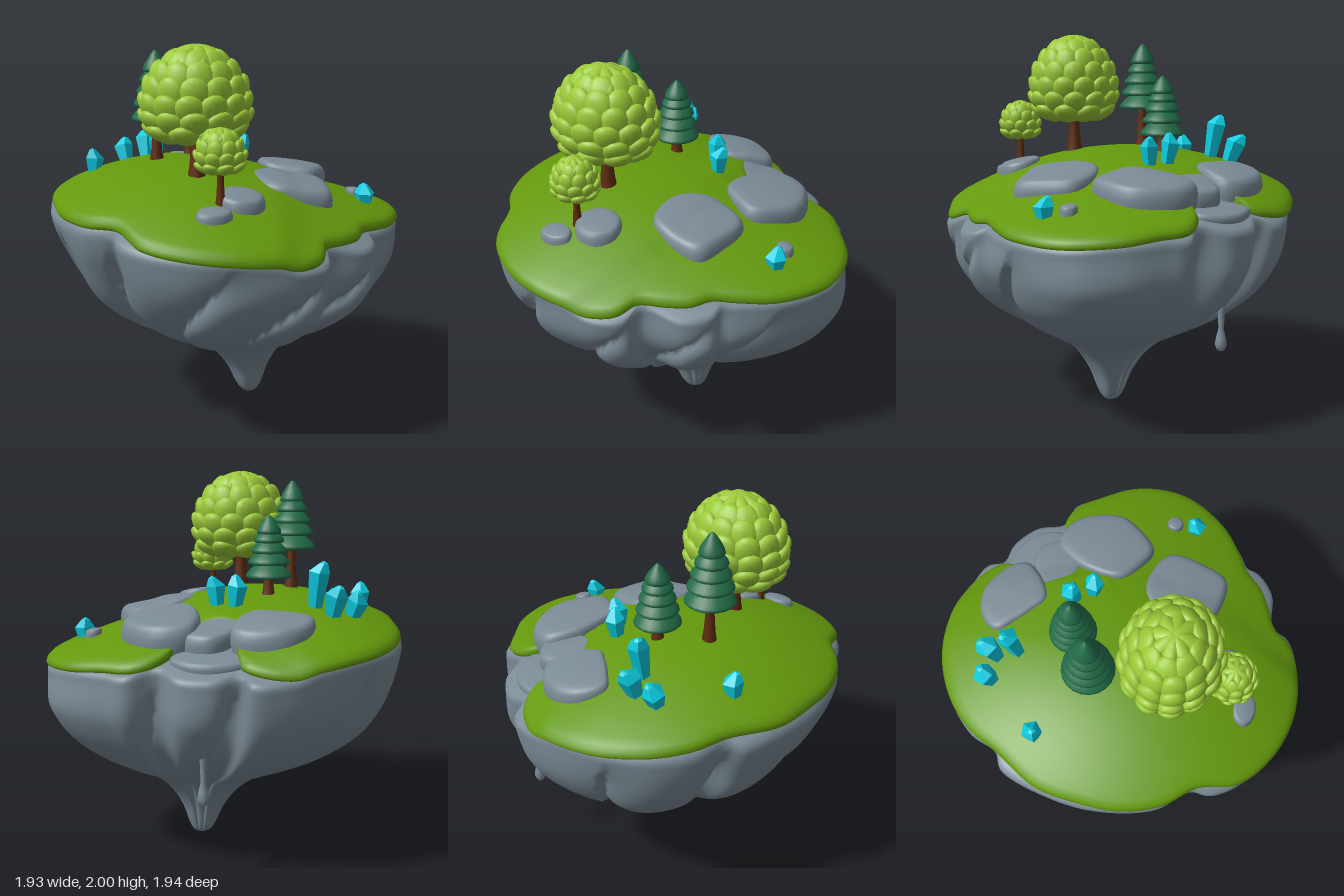
import * as THREE from 'three';

const mat = (name, color, extra = {}) => Object.assign(new THREE.MeshStandardMaterial({ color, ...extra }), { name });
const grassMat = mat('grass green', 0x64990c);
const rockMat = mat('slate grey', 0x7b8b96);
const leafMat = mat('lime leaf', 0x9cca38);
const pineMat = mat('pine green', 0x216a48);
const woodMat = mat('bark brown', 0x5e2c10);
const crystalMat = mat('crystal cyan', 0x0acde2, { flatShading: true });

const { smoothstep, lerp } = THREE.MathUtils;
const lathe = (points, sides) => new THREE.LatheGeometry(points.map(p => new THREE.Vector2(...p)), sides);

// Height of the meadow at any spot
function ground(x, z) {
  const dx = x + 0.25, dz = z + 0.05;
  const slope = dx > 0 ? 0.22 * dx ** 1.45 : 0.36 * dx * dx;
  return 1.385 - slope - 0.28 * dz * dz - 0.025 * smoothstep(x + 0.3 * z * z, 0.2, 0.32);
}

// Smooth closed outline through a few [x, z] points, clockwise from above
function outline(points) {
  return new THREE.CatmullRomCurve3(points.map(([x, z]) => new THREE.Vector3(x, 0, z)), true, 'centripetal');
}

// Skin over closed rings listed from the bottom up; at(j, row) gives [x, y, z]
function loft(rows, segments, at) {
  const pos = [], index = [];
  rows.forEach((row, i) => {
    for (let j = 0; j < segments; j++) {
      pos.push(...at(j, row));
      if (i === rows.length - 1) continue;
      const a = i * segments + j, b = i * segments + (j + 1) % segments;
      index.push(a, a + segments, b, b, a + segments, b + segments);
    }
  });
  const g = new THREE.BufferGeometry();
  g.setAttribute('position', new THREE.Float32BufferAttribute(pos, 3));
  g.setIndex(index);
  g.computeVertexNormals();
  return g;
}

function add(parent, name, geometry, material, x = 0, y = 0, z = 0) {
  const m = new THREE.Mesh(geometry, material);
  m.name = name;
  m.position.set(x, y, z);
  parent.add(m);
  return m;
}

// Hanging rock with overlapping plates that sweep sideways at the front
function rockBody() {
  const N = 240;
  const rim = outline([[-0.2, -0.94], [0.1, -0.93], [0.24, -0.88], [0.27, -0.79], [0.4, -0.77], [0.53, -0.67],
    [0.58, -0.52], [0.73, -0.49], [0.8, -0.38], [0.9, -0.2], [0.95, 0], [0.92, 0.17], [0.8, 0.37], [0.65, 0.51],
    [0.59, 0.55], [0.58, 0.62], [0.48, 0.72], [0.27, 0.76], [0.23, 0.86], [0.1, 0.93], [-0.2, 0.93], [-0.45, 0.88],
    [-0.65, 0.75], [-0.74, 0.62], [-0.75, 0.52], [-0.88, 0.37], [-0.96, 0.1], [-0.96, -0.15], [-0.88, -0.45],
    [-0.8, -0.5], [-0.74, -0.65], [-0.6, -0.8], [-0.4, -0.9]]).getSpacedPoints(N);
  const profile = new THREE.SplineCurve([[0, 0], [0.045, 0.012], [0.08, 0.06], [0.125, 0.16], [0.2, 0.26], [0.31, 0.345],
    [0.47, 0.41], [0.66, 0.5], [0.83, 0.62], [0.93, 0.75], [0.98, 0.87], [1, 0.97]].map(p => new THREE.Vector2(...p)));
  const rows = profile.getPoints(44).map(p => ({ r: p.x, f: p.y }));
  rows.push({ r: 0.995, top: -0.055 });
  for (const r of [0.97, 0.9, 0.8, 0.65, 0.5, 0.3, 0.1, 0]) rows.push({ r, top: -0.05 });

  // Seams between plates, as fractions around the rim
  const seams = [[0.27, -0.79], [0.58, -0.52], [0.83, 0.33], [0.59, 0.56], [0.25, 0.78], [-0.2, 0.93], [-0.75, 0.54],
    [-0.96, 0.05], [-0.82, -0.49], [-0.4, -0.9]].map(([x, z]) => {
    const d = rim.map(p => Math.hypot(p.x - x, p.z - z));
    return d.indexOf(Math.min(...d)) / N;
  }).sort((a, b) => a - b);
  function plateDepth(u) {
    const v = (u + 1) % 1;
    const k = seams.findIndex(s => s > v);
    const end = k < 0 ? seams[0] + 1 : seams[k];
    const start = k > 0 ? seams[k - 1] : k < 0 ? seams.at(-1) : seams.at(-1) - 1;
    const phase = (v - start) / (end - start);
    return phase ** 5 + 0.35 * (1 - phase) ** 4;
  }

  return loft(rows, N, (j, { r, f, top }) => {
    const p = rim[j];
    let k = r;
    if (top === undefined) {
      const twist = lerp(0.04, 0.19, smoothstep(p.z, 0.1, 0.85));
      const swell = 0.025 + 0.05 * smoothstep(p.x, 0, 0.9) - 0.045 * smoothstep(-p.x, 0.4, 0.9);
      const depth = swell - 0.115 * plateDepth(j / N - twist * (1 - f));
      k *= 1 + depth * smoothstep(r, 0.12, 0.5) * (1 - smoothstep(f, 0.76, 0.98));
    }
    const x = lerp(0.12, p.x, k), z = p.z * k;
    const y = top === undefined ? f * lerp(1.05, ground(p.x, p.z) - 0.045, f ** 3) : ground(x, z) + top;
    return [x, y, z];
  });
}

// Puffy turf with a notch cut in at the back
function turf() {
  const N = 160;
  const edge = outline([[-0.2, -0.965], [0.02, -0.95], [0.16, -0.88], [0.245, -0.77], [0.22, -0.67], [0.14, -0.55],
    [0.22, -0.38], [0.36, -0.36], [0.45, -0.46], [0.56, -0.51], [0.7, -0.48], [0.8, -0.36], [0.91, -0.2], [0.955, 0],
    [0.93, 0.16], [0.8, 0.37], [0.65, 0.49], [0.54, 0.56], [0.48, 0.64], [0.37, 0.71], [0.25, 0.77], [0.2, 0.86],
    [0.08, 0.93], [-0.2, 0.965], [-0.45, 0.9], [-0.65, 0.75], [-0.73, 0.55], [-0.86, 0.4], [-0.94, 0.2], [-0.955, 0],
    [-0.93, -0.25], [-0.8, -0.5], [-0.73, -0.65], [-0.6, -0.8], [-0.4, -0.92]]).getSpacedPoints(N);
  const rows = [[0.92, -0.062], [0.975, -0.062], [0.993, -0.05], [1.001, -0.033], [0.993, -0.015], [0.975, -0.004],
    [0.94, 0], [0.86, 0], [0.76, 0], [0.64, 0], [0.52, 0], [0.4, 0], [0.28, 0], [0.16, 0], [0.06, 0], [0, 0]];
  return loft(rows, N, (j, [r, dy]) => {
    const x = lerp(-0.2, edge[j].x, r), z = lerp(0.2, edge[j].z, r);
    return [x, ground(x, z) + dy, z];
  });
}

// Flat-topped boulder, sunk in the slope and nearly level on top
function boulder(points, h) {
  const N = 54, ring = outline(points).getSpacedPoints(N);
  const cx = points.reduce((s, p) => s + p[0], 0) / points.length;
  const cz = points.reduce((s, p) => s + p[1], 0) / points.length;
  const rows = [[0.96, 0], [1, 0.35], [1.01, 0.6], [0.985, 0.8], [0.93, 0.92], [0.85, 0.98], [0.7, 1], [0.4, 1.03], [0, 1.04]];
  return loft(rows, N, (j, [r, s]) => {
    const x = lerp(cx, ring[j].x, r), z = lerp(cz, ring[j].z, r);
    const top = lerp(ground(cx, cz), ground(x, z), 0.5) + h;
    return [x, lerp(ground(x, z) - 0.07, top, s), z];
  });
}

const ovalPoints = (cx, cz, rx, rz) => [0, 1, 2, 3, 4, 5, 6].map(i => {
  const a = i / 7 * Math.PI * 2;
  return [cx + rx * Math.sin(a), cz - rz * Math.cos(a)];
});

// Round tree whose egg-shaped crown is made of overlapping leaf scales
function leafTree(x, z, crownY, radius, rows, leaf, trunkR, wide) {
  const g = new THREE.Group();
  g.name = 'roundTree';
  const base = ground(x, z) - 0.03, h = crownY - base;
  add(g, 'trunk', lathe([[trunkR * 1.5, 0], [trunkR * 1.1, h * 0.2], [trunkR * 0.85, h * 0.5], [trunkR * 0.9, h]], 12), woodMat, x, base, z);
  const crown = new THREE.Group();
  crown.name = 'crown';
  crown.position.set(x, crownY, z);
  crown.scale.set(wide, 1, 2 - wide);
  g.add(crown);
  add(crown, 'crownCore', new THREE.SphereGeometry(radius * 0.84, 20, 14), leafMat, 0, radius * 0.12, 0);
  const scaleGeo = new THREE.SphereGeometry(1, 12, 8);
  rows.forEach(([deg, count], i) => {
    const petal = i === 0;
    for (let j = 0; j < count; j++) {
      const a = (j + (i % 2) / 2) / count * Math.PI * 2, t = deg * Math.PI / 180;
      const n = new THREE.Vector3(Math.sin(t) * Math.cos(a), Math.cos(t), Math.sin(t) * Math.sin(a));
      const side = new THREE.Vector3(-Math.sin(a), 0, Math.cos(a));
      const m = add(crown, 'leaf', scaleGeo, leafMat);
      m.quaternion.setFromRotationMatrix(new THREE.Matrix4().makeBasis(side, new THREE.Vector3().crossVectors(n, side), n));
      m.rotateX(petal ? -0.1 : -0.5);
      m.position.copy(n).multiplyScalar(radius * (petal ? 0.9 : 0.86));
      if (n.y > 0) m.position.y *= 1.13;
      m.scale.set(leaf * (petal ? 0.5 : 0.9), leaf * (petal ? 1.25 : 1.05), leaf * 0.5);
    }
  });
  return g;
}

// Pine built from stacked skirts
function pine(x, z, top, tiers) {
  const g = new THREE.Group();
  g.name = 'pineTree';
  const base = ground(x, z) - 0.03, h = tiers[0][0] + 0.06 - base;
  add(g, 'trunk', lathe([[0.042, 0], [0.03, h * 0.25], [0.022, h * 0.6], [0.018, h]], 12), woodMat, x, base, z);
  tiers.forEach(([y, r], i) => {
    const peak = (i === tiers.length - 1 ? top : tiers[i + 1][0] + 0.03) - y;
    const prof = [[0, 0.025], [r * 0.6, 0.015], [r * 0.93, -0.008], [r, 0], [r * 0.97, 0.012], [r * 0.78, peak * 0.38], [r * 0.42, peak * 0.74], [r * 0.15, peak * 0.95], [0, peak]];
    add(g, 'branchSkirt', lathe(prof, 20), pineMat, x, y, z);
  });
  return g;
}

// Five-sided crystal with a blunt, off-centre tip
function crystal(h, r) {
  const neck = h - 0.055;
  const g = lathe([[0, 0], [r * 0.6, 0], [r, neck], [r * 0.4, h - 0.012], [0, h]], 5);
  const p = g.attributes.position;
  for (let i = 0; i < p.count; i++) {
    if (p.getY(i) > neck + 0.001) p.setX(i, p.getX(i) + 0.018);
  }
  return g;
}

export function createModel() {
  const model = new THREE.Group();
  model.name = 'floatingIsland';
  add(model, 'rockBody', rockBody(), rockMat);
  add(model, 'turf', turf(), grassMat);

  // Boulders
  const stones = [
    [[[-0.2, -0.66], [-0.12, -0.77], [0.02, -0.8], [0.18, -0.72], [0.23, -0.62], [0.17, -0.53], [0.03, -0.45], [-0.05, -0.5], [-0.13, -0.57]], 0.045],
    [[[0.39, -0.49], [0.55, -0.43], [0.63, -0.2], [0.56, -0.06], [0.46, 0.03], [0.35, -0.01], [0.24, -0.1], [0.25, -0.28], [0.3, -0.4]], 0.07],
    [[[0.17, 0.06], [0.28, 0.04], [0.46, 0.12], [0.45, 0.33], [0.4, 0.45], [0.28, 0.46], [0.1, 0.4], [0.06, 0.25], [0.08, 0.14]], 0.04],
    [[[0.08, -0.45], [0.2, -0.57], [0.33, -0.59], [0.42, -0.48], [0.38, -0.34], [0.2, -0.35]], 0.025],
    [[[0.2, -0.74], [0.36, -0.72], [0.47, -0.63], [0.5, -0.5], [0.35, -0.46], [0.22, -0.58]], -0.03],
    [ovalPoints(-0.12, 0.565, 0.12, 0.115), 0.04],
    [ovalPoints(-0.29, 0.69, 0.09, 0.06), 0.03],
    [ovalPoints(0.69, 0.1, 0.045, 0.045), 0.035],
  ];
  for (const [points, h] of stones) add(model, 'boulder', boulder(points, h), rockMat);

  // Thin stone drip below the notch
  add(model, 'stoneDrip', lathe([[0, 0], [0.02, 0.006], [0.031, 0.035], [0.026, 0.07], [0.014, 0.12], [0.018, 0.22],
    [0.035, 0.36], [0.06, 0.52], [0.07, 0.64], [0.05, 0.68], [0, 0.69]], 14), rockMat, 0.38, 0.4, -0.62);

  // Trees
  model.add(leafTree(-0.265, 0.28, 1.7, 0.255, [[19, 8], [37, 9], [55, 11], [73, 12], [91, 13], [109, 12], [125, 9]], 0.085, 0.034, 1.06));
  model.add(leafTree(-0.23, 0.59, 1.495, 0.114, [[20, 7], [44, 7], [68, 9], [94, 10], [120, 8]], 0.045, 0.02, 1.03));
  model.add(pine(-0.387, -0.097, 1.955, [[1.595, 0.132], [1.67, 0.12], [1.735, 0.103], [1.795, 0.085], [1.85, 0.066]]));
  model.add(pine(-0.17, -0.24, 1.78, [[1.46, 0.122], [1.53, 0.11], [1.59, 0.095], [1.645, 0.08], [1.69, 0.064]]));

  // Crystals: x, z, height, radius, tilt about x, tilt about z
  const crystals = [[-0.46, -0.59, 0.17, 0.058, -0.4, 0.12], [-0.34, -0.6, 0.2, 0.06, -0.35, 0], [-0.3, -0.5, 0.27, 0.056, -0.18, 0],
    [-0.7, -0.31, 0.15, 0.054, 0, 0.1], [0.055, -0.295, 0.19, 0.053, -0.1, 0.08], [0.115, -0.215, 0.18, 0.052, 0.05, -0.08],
    [0.7, 0.215, 0.13, 0.056, 0.12, -0.08]];
  crystals.forEach(([x, z, h, r, rx, rz], i) => {
    add(model, 'crystal', crystal(h, r), crystalMat, x, ground(x, z) - 0.03, z).rotation.set(rx, i * 1.3, rz);
  });
  return model;
}
